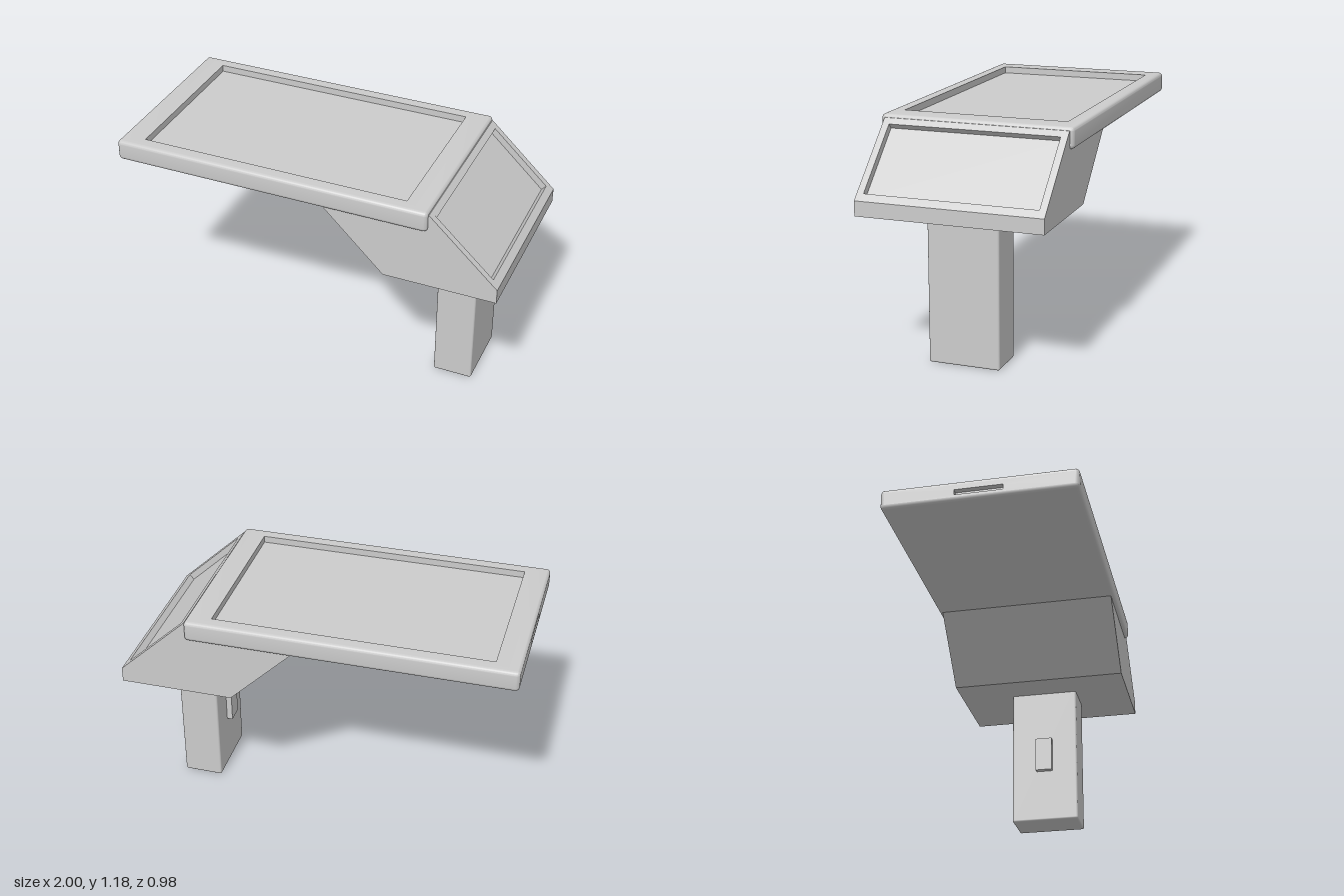
import * as THREE from 'three';
import { toCreasedNormals } from 'three/addons/utils/BufferGeometryUtils.js';
import { RoundedBoxGeometry } from 'three/addons/geometries/RoundedBoxGeometry.js';

const material = new THREE.MeshStandardMaterial({ color: 0xcccccc });

function add(parent, name, geometry, x = 0, y = 0, z = 0) {
  const mesh = new THREE.Mesh(geometry, material);
  mesh.name = name;
  mesh.position.set(x, y, z);
  parent.add(mesh);
  return mesh;
}

const shapeOf = (pts) => new THREE.Shape(pts.map((p) => new THREE.Vector2(...p)));
const rect = (w, y0, y1) => [[-w, y0], [w, y0], [w, y1], [-w, y1]];
const extrude = (shape, depth) => new THREE.ExtrudeGeometry(shape, { depth, bevelEnabled: false });

const STEPS = 6; // segments per rounded quarter

// One horizontal rounded-rectangle loop
function loop(hx, hz, r, y) {
  const pts = [];
  [[1, 1], [-1, 1], [-1, -1], [1, -1]].forEach(([sx, sz], q) => {
    for (let j = 0; j <= STEPS; j++) {
      const a = (q + j / STEPS) * Math.PI / 2;
      pts.push([sx * (hx - r) + r * Math.cos(a), y, sz * (hz - r) + r * Math.sin(a)]);
    }
  });
  return pts;
}

// Rounded slab with a sunken top; its flat -x end is left open for the slotted panel
function slabGeometry(hx, hz, y0, y1, r, px, pz, depth) {
  const loops = [loop(0, 0, 0, y0)];
  for (const top of [false, true]) {
    for (let j = 0; j <= STEPS; j++) {
      const a = (top ? j / STEPS : 1 - j / STEPS) * Math.PI / 2;
      const inset = r * (1 - Math.cos(a));
      const y = top ? y1 - r + r * Math.sin(a) : y0 + r - r * Math.sin(a);
      loops.push(loop(hx - inset, hz - inset, Math.max(r - inset, 0.001), y));
    }
  }
  loops.push(loop(px, pz, 0, y1), loop(px, pz, 0, y1 - depth), loop(0, 0, 0, y1 - depth));

  const n = loops[0].length;
  const index = [];
  for (let k = 0; k < loops.length - 1; k++) {
    for (let i = 0; i < n; i++) {
      if (k === STEPS + 1 && i === 2 * STEPS + 1) continue;
      const a = k * n + i, b = k * n + (i + 1) % n;
      index.push(a, a + n, b, b, a + n, b + n);
    }
  }
  const g = new THREE.BufferGeometry();
  g.setAttribute('position', new THREE.Float32BufferAttribute(loops.flat(2), 3));
  g.setIndex(index);
  return toCreasedNormals(g, 0.5);
}

function buildTabletop() {
  const group = new THREE.Group();
  group.name = 'tabletop';
  add(group, 'screenSlab', slabGeometry(0.8225, 0.49, 1.07, 1.177, 0.02, 0.6975, 0.42, 0.035), -0.1775);

  // End panel with a narrow slot and its floor
  const end = shapeOf(rect(0.47, 1.09, 1.157));
  end.holes.push(new THREE.Path(rect(0.12, 1.102, 1.13).map((p) => new THREE.Vector2(...p))));
  add(group, 'slotPanel', extrude(end, 0.03).rotateY(-Math.PI / 2), -0.97);
  add(group, 'slotFloor', new THREE.BoxGeometry(0.01, 0.05, 0.3), -0.965, 1.116, 0);
  return group;
}

function buildBracket() {
  const group = new THREE.Group();
  group.name = 'bracket';
  const before = [[0.1, 1.075], [0.425, 0.755], [1, 0.755], [1, 0.83]];
  const after = [[0.648, 1.16], [0.55, 1.16], [0.55, 1.075]];
  // Notch for the sunken sloping panel
  const notch = [[0.968, 0.86], [0.945, 0.835], [0.652, 1.111], [0.675, 1.135]];
  const cheek = extrude(shapeOf([...before, ...after]), 0.035);
  add(group, 'bracketCore', extrude(shapeOf([...before, ...notch, ...after]), 0.87), 0, 0, -0.435);
  add(group, 'leftCheek', cheek, 0, 0, 0.435);
  add(group, 'rightCheek', cheek, 0, 0, -0.47);
  return group;
}

export function createModel() {
  const model = new THREE.Group();
  model.name = 'displayStand';
  model.add(buildTabletop(), buildBracket());
  // Leg runs a little way into the bracket
  add(model, 'leg', new RoundedBoxGeometry(0.204, 0.78, 0.364, 3, 0.01), 0.714, 0.39, 0);
  add(model, 'legHandle', new THREE.BoxGeometry(0.04, 0.186, 0.09), 0.602, 0.378, 0);
  return model;
}
